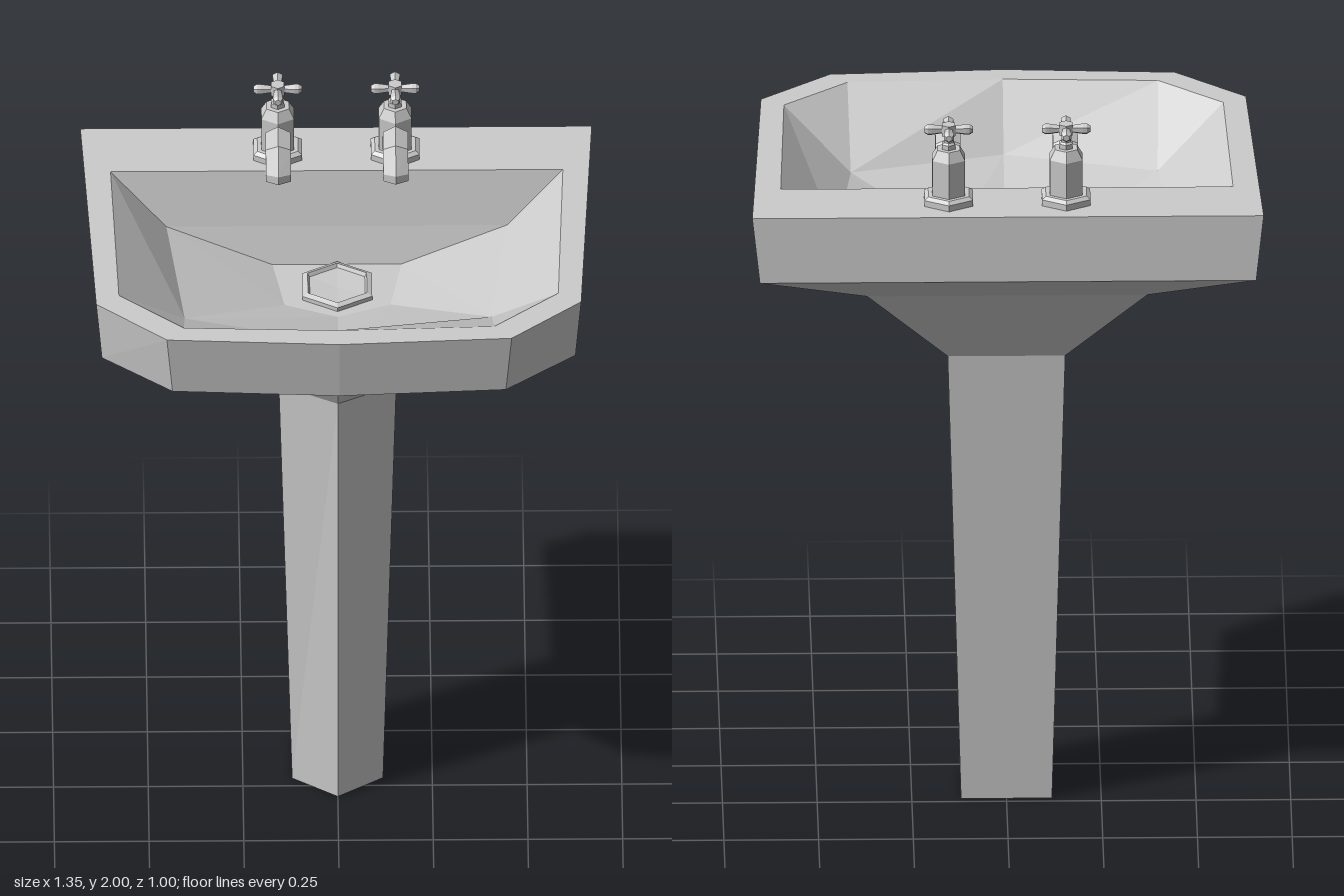
import * as THREE from 'three';

const material = new THREE.MeshStandardMaterial({ color: 0xcccccc, flatShading: true });

function part(name, geometry, x = 0, y = 0, z = 0) {
  const mesh = new THREE.Mesh(geometry, material);
  mesh.name = name;
  mesh.position.set(x, y, z);
  return mesh;
}

// Skins a series of rings with equal point counts and closes both ends
function loft(rings) {
  const pos = [];
  const tri = (a, b, c) => {
    const area = new THREE.Triangle(a, b, c).getArea();
    if (area > 1e-7) for (const p of [a, b, c]) pos.push(p.x, p.y, p.z);
  };
  const n = rings[0].length;
  const centre = (ring) => ring.reduce((s, p) => s.add(p), new THREE.Vector3()).divideScalar(n);
  const first = rings[0], last = rings[rings.length - 1];
  const c0 = centre(first), c1 = centre(last);
  for (let i = 0; i < n; i++) {
    const j = (i + 1) % n;
    for (let k = 0; k + 1 < rings.length; k++) {
      const a = rings[k], b = rings[k + 1];
      tri(a[i], a[j], b[j]);
      tri(a[i], b[j], b[i]);
    }
    tri(c0, first[j], first[i]);
    tri(c1, last[i], last[j]);
  }
  const g = new THREE.BufferGeometry();
  g.setAttribute('position', new THREE.Float32BufferAttribute(pos, 3));
  g.computeVertexNormals();
  return g;
}

// Symmetric horizontal ring: front centre, then [x, z] points down one side, mirrored
function ring(y, frontZ, side) {
  const right = side.map(([x, z]) => new THREE.Vector3(x, y, z));
  const left = side.map(([x, z]) => new THREE.Vector3(-x, y, z)).reverse();
  return [new THREE.Vector3(0, y, frontZ), ...right, ...left];
}

// Hexagonal spout that bends forward and down
function spoutGeometry() {
  // each section: outer z, y and inner z, y
  const sections = [
    [-0.36, 1.865, -0.36, 1.795],
    [-0.335, 1.875, -0.325, 1.803],
    [-0.296, 1.922, -0.281, 1.857],
    [-0.206, 1.922, -0.232, 1.857],
    [-0.159, 1.855, -0.224, 1.842],
    [-0.159, 1.83, -0.224, 1.83],
  ];
  const w = 0.033;
  const outline = [[0, 0], [-w, 0.25], [-w, 0.75], [0, 1], [w, 0.75], [w, 0.25]];
  return loft(sections.map(([oz, oy, iz, iy]) => outline.map(([x, t]) =>
    new THREE.Vector3(x, oy + (iy - oy) * t, oz + (iz - oz) * t + 0.38))));
}

function createTap() {
  const tap = new THREE.Group();
  const hex = (profile) => new THREE.LatheGeometry(profile.map(([r, y]) => new THREE.Vector2(r, y)), 6);
  // Base flange, body and valve stem
  tap.add(part('tapBase', hex([[0, 1.775], [0.074, 1.775], [0.074, 1.797], [0.062, 1.805], [0, 1.805]])));
  tap.add(part('tapBody', hex([[0.05, 1.8], [0.05, 1.905], [0.034, 1.932], [0, 1.932]])));
  tap.add(part('tapStem', hex([[0.02, 1.925], [0.02, 1.945], [0.014, 1.95], [0.014, 1.978], [0, 1.978]])));
  const spout = part('tapSpout', spoutGeometry());
  tap.add(spout);
  // Cross handle with arms that swell toward their ends
  const handle = new THREE.Group();
  handle.name = 'tapHandle';
  handle.position.y = 1.985;
  handle.add(part('handleHub', new THREE.CylinderGeometry(0.02, 0.02, 0.03, 6)));
  for (let i = 0; i < 4; i++) {
    const g = new THREE.LatheGeometry(
      [[0.01, 0], [0.011, 0.02], [0.015, 0.045], [0.015, 0.055], [0.009, 0.064], [0, 0.064]]
        .map(([r, y]) => new THREE.Vector2(r, y)), 6);
    g.rotateX(Math.PI / 2).rotateY(i * Math.PI / 2);
    handle.add(part('handleArm', g));
  }
  tap.add(handle);
  return tap;
}

export function createModel() {
  const sink = new THREE.Group();
  sink.name = 'pedestalSink';

  // Five-sided tapering pedestal
  sink.add(part('pedestal', loft([
    ring(0, 0.05, [[0.12, -0.035], [0.12, -0.23]]),
    ring(1.27, 0.05, [[0.155, -0.035], [0.155, -0.23]]),
  ])));

  // Basin: underside, outer wall, rim, then down into the bowl
  sink.add(part('basin', loft([
    ring(1.27, 0.05, [[0.155, -0.035], [0.155, -0.035], [0.155, -0.23]]),
    ring(1.505, 0.2, [[0.3, 0.085], [0.3, 0.085], [0.37, -0.375]]),
    ring(1.6, 0.48, [[0.44, 0.455], [0.625, 0.3], [0.655, -0.505]]),
    ring(1.78, 0.5, [[0.455, 0.475], [0.64, 0.31], [0.675, -0.492]]),
    ring(1.78, 0.435, [[0.41, 0.42], [0.58, 0.27], [0.597, -0.295]]),
    ring(1.63, 0.28, [[0.405, 0.165], [0.405, 0.165], [0.45, -0.255]]),
    ring(1.53, 0.02, [[0.14, -0.035], [0.14, -0.035], [0.17, -0.22]]),
  ])));

  // Hexagonal drain with raised lip and dished centre
  const drain = [[0.106, -0.02], [0.106, 0.012], [0.09, 0.018], [0.084, 0.008], [0, 0.003]];
  sink.add(part('drain', new THREE.LatheGeometry(
    drain.map(([r, y]) => new THREE.Vector2(r, y)), 6), 0, 1.53, -0.11));

  // Pair of taps
  for (const side of [-1, 1]) {
    const tap = createTap();
    tap.name = side > 0 ? 'leftTap' : 'rightTap';
    tap.position.set(side * 0.155, 0, -0.38);
    sink.add(tap);
  }
  return sink;
}
